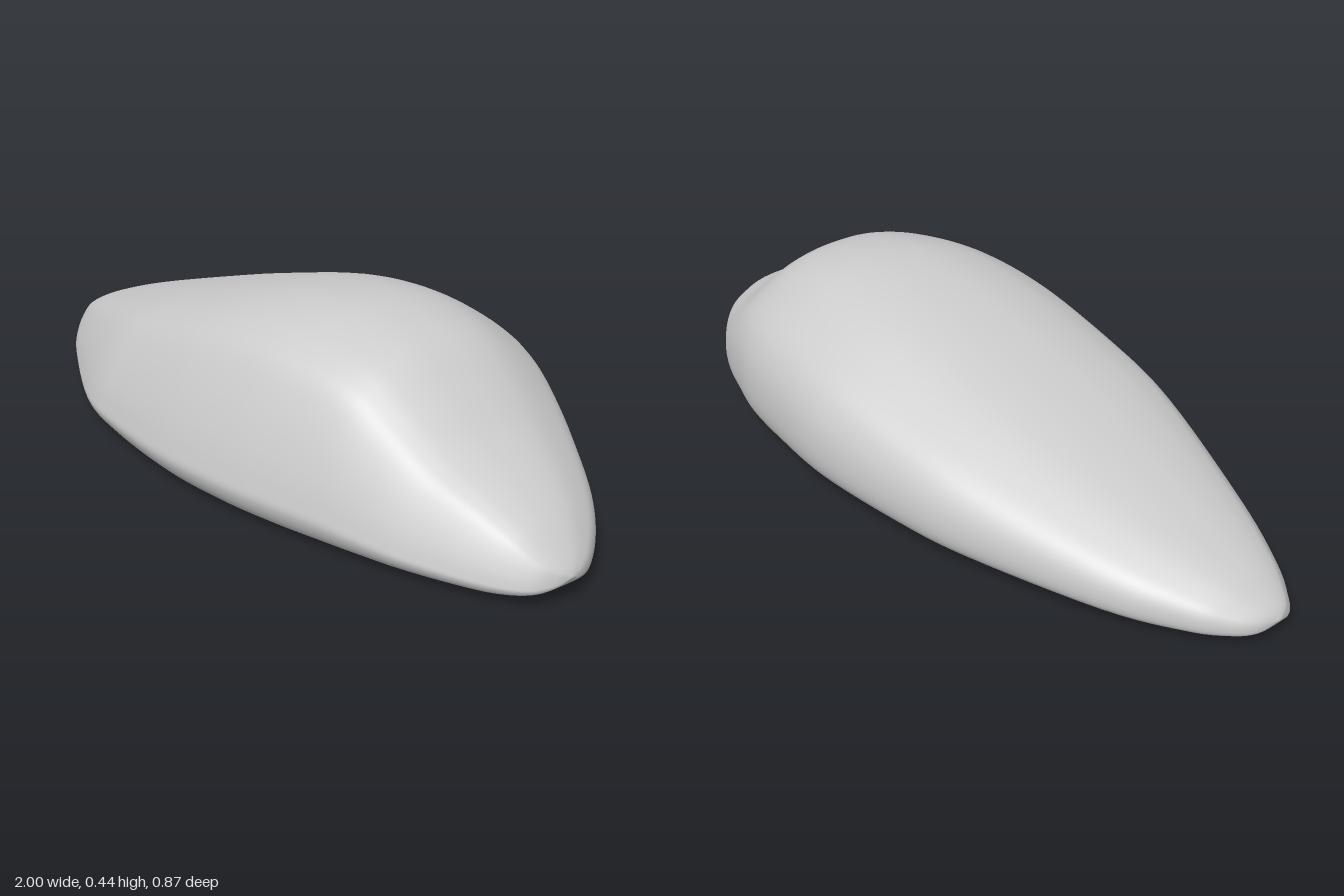
import * as THREE from 'three';
import { mergeVertices } from 'three/addons/utils/BufferGeometryUtils.js';

// Stations along the length: x, back z, front z, underside y, crest y
const stations = [
  [-1, 0, 0, 0.045, 0.045],
  [-0.985, -0.06, 0.05, 0.025, 0.066],
  [-0.95, -0.11, 0.09, 0.018, 0.09],
  [-0.88, -0.17, 0.145, 0.013, 0.127],
  [-0.72, -0.26, 0.235, 0.009, 0.187],
  [-0.4, -0.37, 0.375, 0.004, 0.29],
  [-0.2, -0.41, 0.415, 0.002, 0.35],
  [0.05, -0.435, 0.43, 0.002, 0.416],
  [0.25, -0.42, 0.412, 0.003, 0.443],
  [0.4, -0.395, 0.38, 0.004, 0.433],
  [0.52, -0.355, 0.345, 0.006, 0.4],
  [0.62, -0.315, 0.312, 0.008, 0.33],
  [0.72, -0.262, 0.276, 0.011, 0.256],
  [0.83, -0.187, 0.227, 0.015, 0.2],
  [0.91, -0.115, 0.182, 0.019, 0.153],
  [0.965, -0.045, 0.135, 0.028, 0.105],
  [0.99, 0.005, 0.09, 0.042, 0.078],
  [1, 0.045, 0.045, 0.06, 0.06],
];

// Cross-section: across (-1 back .. 1 front), height (0 underside .. 1 crest)
const section = [
  [1, 0.15], [0.985, 0.24], [0.93, 0.41], [0.82, 0.64], [0.7, 0.81], [0.58, 0.885],
  [0.46, 0.935], [0.23, 0.988], [0, 1], [-0.23, 0.985], [-0.46, 0.93], [-0.7, 0.81],
  [-0.88, 0.68], [-0.97, 0.52], [-1, 0.34], [-0.985, 0.2], [-0.94, 0.125],
  [-0.84, 0.07], [-0.65, 0.03], [-0.3, 0.01], [0, 0], [0.5, 0], [0.83, 0.008], [0.94, 0.045],
];

function curve(points, closed, type) {
  return new THREE.CatmullRomCurve3(points.map((p) => new THREE.Vector3(...p)), closed, type);
}

function pebbleGeometry(rings, sides) {
  const plan = curve(stations.map(([x, b, f]) => [x, b, f]), false, 'catmullrom');
  const side = curve(stations.map(([x, , , lo, hi]) => [x, lo, hi]), false, 'catmullrom');
  const loop = curve(section.map(([u, v]) => [u, v, 0]), true, 'centripetal');
  const positions = [];
  const index = [];

  for (let i = 0; i <= rings; i++) {
    const { x, y: back, z: front } = plan.getPoint(i / rings);
    const { y: low, z: high } = side.getPoint(i / rings);
    for (let j = 0; j < sides; j++) {
      const p = loop.getPoint(j / sides);
      positions.push(x, low + (high - low) * p.y, (front + back) / 2 + p.x * (front - back) / 2);
      if (i === rings) continue;
      const a = i * sides + j;
      const c = i * sides + (j + 1) % sides;
      if (i < rings - 1) index.push(a + sides, c + sides, c);
      if (i > 0) index.push(a, a + sides, c);
    }
  }

  const geometry = new THREE.BufferGeometry();
  geometry.setAttribute('position', new THREE.Float32BufferAttribute(positions, 3));
  geometry.setIndex(index);
  // Weld the two tips so they shade smoothly
  const welded = mergeVertices(geometry, 1e-5);
  welded.computeVertexNormals();
  return welded;
}

export function createModel() {
  const group = new THREE.Group();
  group.name = 'pebble';
  const stone = new THREE.Mesh(
    pebbleGeometry(102, 96),
    new THREE.MeshStandardMaterial({ color: 0xcccccc }),
  );
  stone.name = 'stoneBody';
  group.add(stone);
  return group;
}
